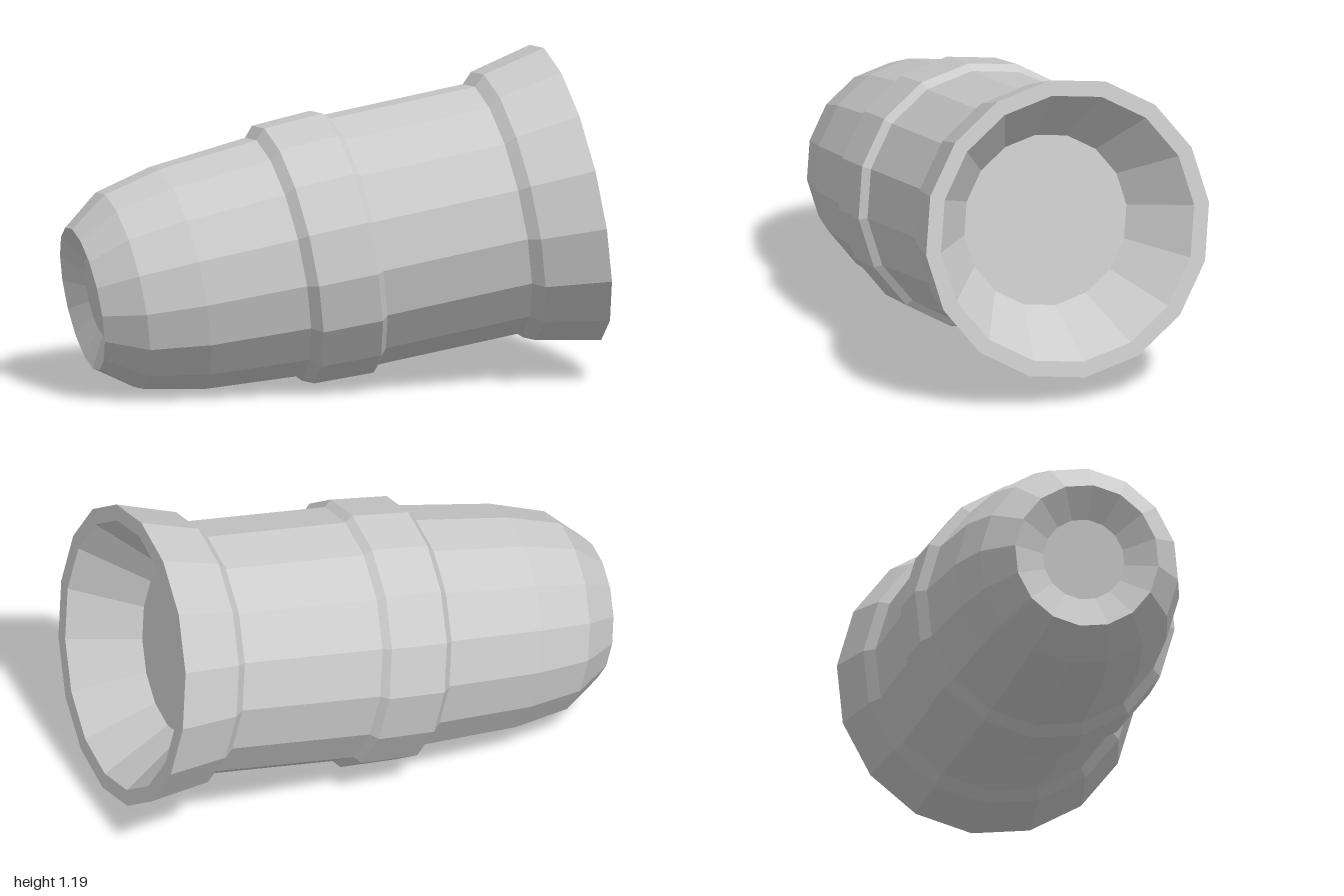
import * as THREE from 'three';

export function createModel() {
  const SIDES = 16;
  const material = new THREE.MeshStandardMaterial({ color: 0xcccccc, flatShading: true });

  // Profiles run from tail to mouth: [distance along the axis, radius]; the mouth plane is at 0
  const parts = {
    tailRecess: [[-1.775, 0], [-1.775, 0.15], [-1.83, 0.265]],
    tail: [[-1.83, 0.265], [-1.69, 0.366], [-1.475, 0.414], [-1.105, 0.443]],
    band: [[-1.105, 0.443], [-1.07, 0.48], [-0.848, 0.488], [-0.822, 0.463]],
    barrel: [[-0.822, 0.463], [-0.275, 0.463]],
    collar: [[-0.275, 0.463], [-0.235, 0.5], [0, 0.55]],
    mouthRim: [[0, 0.55], [0, 0.492]],
    mouthFunnel: [[0, 0.492], [-0.225, 0.315]],
    mouthFloor: [[-0.225, 0.315], [-0.225, 0]],
  };

  // Faceted lathe laid along +x
  const barrel = new THREE.Group();
  barrel.name = 'tiltedBarrel';
  for (const [name, profile] of Object.entries(parts)) {
    const points = profile.map(([t, r]) => new THREE.Vector2(r, t));
    const geometry = new THREE.LatheGeometry(points, SIDES);
    geometry.rotateZ(-Math.PI / 2);
    const mesh = new THREE.Mesh(geometry, material);
    mesh.name = name;
    barrel.add(mesh);
  }

  // Turn the mouth towards the front, then tip it upwards
  const deg = Math.PI / 180;
  barrel.rotation.set(0, -20 * deg, 10 * deg, 'ZYX');
  barrel.position.set(0.79, 0.652, 0.2);

  const model = new THREE.Group();
  model.name = 'flaredBarrel';
  model.add(barrel);
  return model;
}
